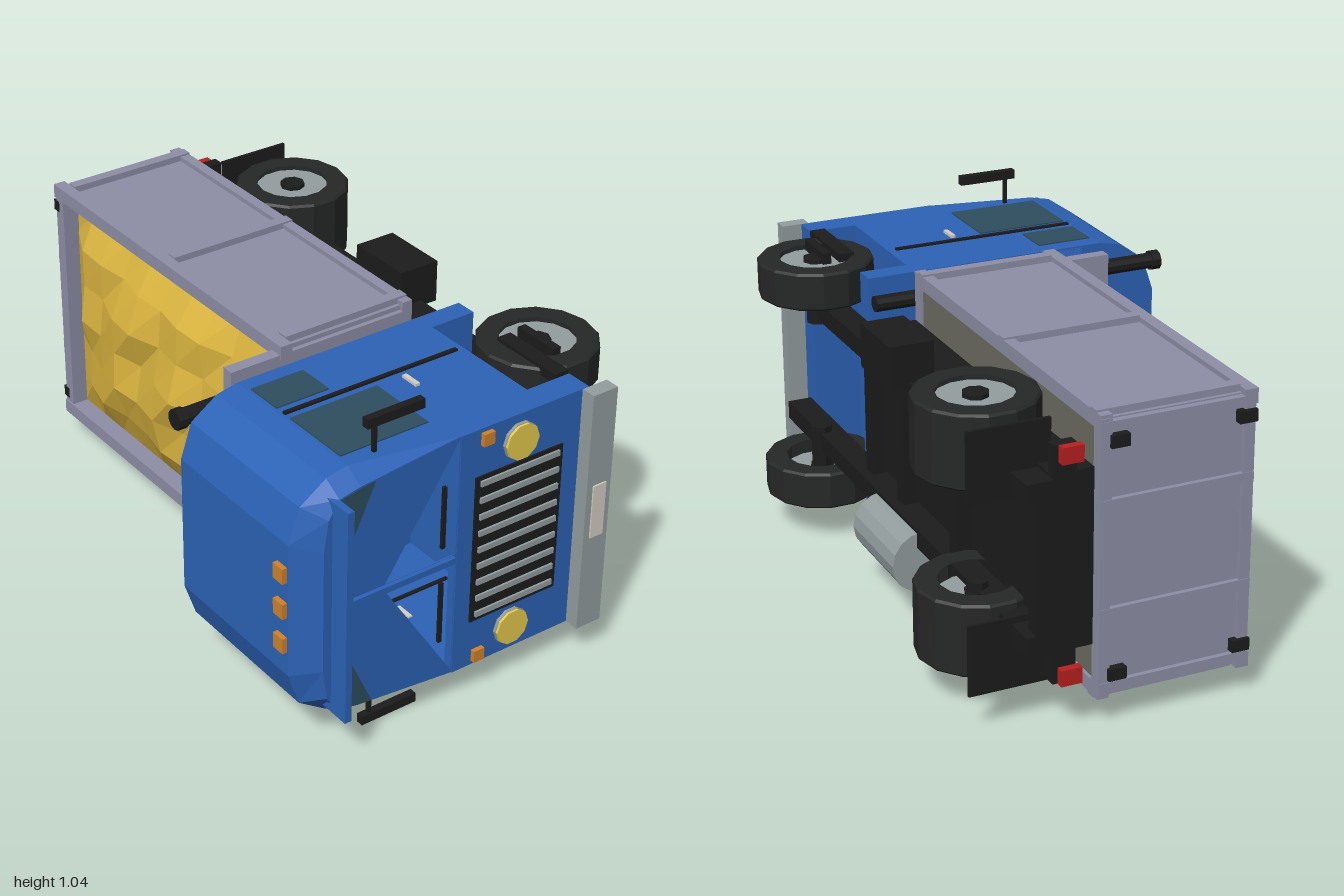
import * as THREE from 'three';

// The truck lies on its side: forward is +x, its roof faces +z, its width runs along y.
const MID = 0.52;
const C = { blue: 0x2c62b6, dark: 0x1c1c1d, tyre: 0x262727, bed: 0x8d8ea6, floor: 0x6c6c62, metal: 0x939d9e,
  sand: 0xdcb640, glass: 0x2d4d5e, orange: 0xd0822c, yellow: 0xe6ca4c, red: 0xb82020, cream: 0xd4cec4 };
const mats = {};
const mat = (c) => (mats[c] ??= new THREE.MeshStandardMaterial({ color: C[c], flatShading: true, side: THREE.DoubleSide }));

export function createModel() {
  const model = new THREE.Group();
  const add = (name, geo, c) => {
    const m = new THREE.Mesh(geo, mat(c));
    m.name = name;
    model.add(m);
    return m;
  };
  const box = (name, c, x0, x1, y0, y1, z0, z1) =>
    add(name, new THREE.BoxGeometry(x1 - x0, y1 - y0, z1 - z0), c)
      .position.set((x0 + x1) / 2, (y0 + y1) / 2, (z0 + z1) / 2);
  // box repeated on both flanks, d measured outward from the centre line
  const pair = (name, c, x0, x1, d0, d1, z0, z1) => {
    box(name, c, x0, x1, MID + d0, MID + d1, z0, z1);
    box(name, c, x0, x1, MID - d1, MID - d0, z0, z1);
  };
  const cyl = (name, c, r, len, n, axis, x, y, z) => {
    const g = new THREE.CylinderGeometry(r, r, len, n);
    if (axis === 'x') g.rotateZ(Math.PI / 2);
    if (axis === 'z') g.rotateX(Math.PI / 2);
    add(name, g, c).position.set(x, y, z);
  };

  // chassis
  pair('chassisRail', 'dark', -0.965, 0.905, 0.2, 0.26, -0.46, -0.38);
  box('subframe', 'dark', -0.95, 0.285, 0.25, 0.79, -0.38, -0.25);
  for (const x of [-0.94, -0.4, 0.0, 0.25]) box('crossMember', 'dark', x - 0.025, x + 0.025, 0.3, 0.74, -0.43, -0.36);
  pair('mudFlap', 'dark', -0.868, -0.858, 0.18, 0.4, -0.59, -0.34);
  box('batteryBox', 'dark', -0.165, 0.065, 0.76, 0.9, -0.52, -0.38);
  cyl('fuelTank', 'metal', 0.1, 0.32, 16, 'x', -0.04, 0.21, -0.44);

  // wheels: square tyre profile turned round the y axis, with rim, hub and stub axle
  const tyreProfile = [[0.115, -0.061], [0.178, -0.061], [0.185, -0.054], [0.185, 0.054], [0.178, 0.061], [0.115, 0.061]]
    .map(([r, h]) => new THREE.Vector2(r, h));
  const wheel = (x, d, s) => {
    const y = MID + s * d;
    add('tyre', new THREE.LatheGeometry(tyreProfile, 14), 'tyre').position.set(x, y, -0.447);
    cyl('rim', 'metal', 0.118, 0.06, 14, 'y', x, y + s * 0.015, -0.447);
    cyl('hub', 'dark', 0.04, 0.08, 8, 'y', x, y + s * 0.018, -0.447);
  };
  for (const s of [1, -1]) {
    wheel(0.63, 0.34, s);
    wheel(-0.61, 0.34, s);
    wheel(-0.61, 0.235, s);
    for (const x of [0.63, -0.61]) cyl('stubAxle', 'dark', 0.035, 0.14, 8, 'y', x, MID + s * 0.25, -0.447);
  }

  // cab shell: half profile [offset from centre, z] lofted along x
  const rear = [[0.405, -0.225], [0.405, 0.08], [0.405, 0.42], [0.39, 0.49], [0.33, 0.577], [0.22, 0.614]];
  const nose = [[0.405, -0.225], [0.405, 0.08], [0.37, 0.42], [0.355, 0.49], [0.3, 0.525], [0.2, 0.54]];
  const loop = (half) => [...half, ...half.map(([d, z]) => [-d, z]).reverse()];
  const sections = [[0.345, loop(rear)], [0.87, loop(rear)], [0.932, loop(nose)]];
  const pos = [], idx = [], n = 12;
  sections.forEach(([x, pts]) => pts.forEach(([d, z]) => pos.push(x, MID + d, z)));
  for (let k = 0; k < 2; k++) for (let i = 0; i < n; i++) {
    const a = k * n + i, b = k * n + (i + 1) % n;
    idx.push(a, a + n, b, b, a + n, b + n);
  }
  const shell = new THREE.BufferGeometry();
  shell.setAttribute('position', new THREE.Float32BufferAttribute(pos, 3));
  shell.setIndex(idx);
  shell.computeVertexNormals();
  add('cabShell', shell, 'blue');

  // flat panels across the cab, drawn in (y, z)
  const panel = (name, c, x, outline, holes = []) => {
    const points = (list) => list.map(([d, z]) => new THREE.Vector2(d, z));
    const shape = new THREE.Shape(points(outline));
    for (const h of holes) shape.holes.push(new THREE.Path(points(h)));
    const m = add(name, new THREE.ShapeGeometry(shape), c);
    m.geometry.applyMatrix4(new THREE.Matrix4().set(0, 0, 1, x, 1, 0, 0, MID, 0, 1, 0, 0, 0, 0, 0, 1));
  };
  panel('windscreenPanel', 'blue', 0.932, loop(nose), [1, -1].map((s) => [[s * 0.395, 0.082], [s * 0.012, 0.33], [s * 0.012, 0.082]]));
  panel('cabRearWall', 'blue', 0.345, loop(rear), [[[-0.4, 0.06], [0.4, 0.06], [0.4, 0.36], [-0.4, 0.36]]]);
  for (const s of [1, -1])
    panel('cornerGlass', 'glass', 0.935, [[s * 0.22, 0.49], [s * 0.22, 0.44], [s * 0.373, 0.37], [s * 0.367, 0.42], [s * 0.353, 0.49]]);

  // lower cab either side of the wheel arches, and the front panel
  box('cabRearSkirt', 'blue', 0.345, 0.415, 0.115, 0.925, -0.38, -0.225);
  box('cabFrontSkirt', 'blue', 0.847, 0.933, 0.115, 0.925, -0.38, -0.225);
  box('frontPanel', 'blue', 0.9, 0.935, 0.115, 0.925, -0.355, 0.08);
  box('windscreenPillar', 'blue', 0.925, 0.945, 0.511, 0.531, 0.09, 0.455);
  box('sunVisor', 'blue', 0.89, 1.0, 0.17, 0.875, 0.49, 0.512);
  pair('wiper', 'dark', 0.934, 0.944, 0.06, 0.265, 0.13, 0.142);

  // grille, lamps and bumper
  box('grille', 'dark', 0.93, 0.941, 0.275, 0.77, -0.29, 0.025);
  for (let i = 0; i < 9; i++) {
    const y = 0.3 + i * 0.056;
    box('grilleSlat', 'metal', 0.935, 0.948, y - 0.009, y + 0.009, -0.275, 0.01);
  }
  for (const s of [1, -1]) {
    cyl('headlampRim', 'metal', 0.06, 0.012, 10, 'x', 0.939, MID + s * 0.32, -0.13);
    cyl('headlamp', 'yellow', 0.058, 0.02, 10, 'x', 0.943, MID + s * 0.32, -0.13);
  }
  pair('indicator', 'orange', 0.93, 0.95, 0.352, 0.392, -0.028, 0.01);
  box('bumper', 'metal', 0.935, 0.983, 0.115, 0.925, -0.445, -0.355);
  box('numberPlate', 'cream', 0.98, 0.988, 0.435, 0.615, -0.425, -0.377);
  for (const y of [0.405, 0.522, 0.64]) box('roofLamp', 'orange', 0.82, 0.865, y - 0.025, y + 0.025, 0.595, 0.63);

  // cab sides
  pair('rearSideWindow', 'glass', 0.4, 0.525, 0.4, 0.409, 0.23, 0.41);
  pair('doorWindow', 'glass', 0.59, 0.825, 0.4, 0.409, 0.11, 0.41);
  pair('doorSeam', 'dark', 0.553, 0.566, 0.4, 0.412, -0.2, 0.41);
  pair('doorHandle', 'cream', 0.592, 0.655, 0.4, 0.414, 0.007, 0.022);
  pair('upperStep', 'dark', 0.58, 0.84, 0.38, 0.412, -0.385, -0.335);
  pair('lowerStep', 'dark', 0.58, 0.74, 0.38, 0.422, -0.44, -0.412);
  pair('mirror', 'dark', 0.842, 0.866, 0.49, 0.52, 0.155, 0.35);
  pair('mirrorArm', 'dark', 0.848, 0.86, 0.39, 0.5, 0.313, 0.325);

  // exhaust stack and tipping ram
  cyl('exhaustPipe', 'dark', 0.026, 0.97, 10, 'z', 0.312, 0.852, 0.11);
  cyl('exhaustCap', 'dark', 0.032, 0.03, 10, 'z', 0.312, 0.852, 0.597);
  cyl('tippingRam', 'metal', 0.036, 0.37, 12, 'z', 0.305, MID, -0.115);

  // tipper body
  box('bedFloor', 'floor', -0.97, 0.27, 0.12, 0.92, -0.24, -0.2);
  pair('bedSide', 'bed', -0.97, 0.27, 0.385, 0.415, -0.25, 0.22);
  pair('bedTopRail', 'bed', -0.99, 0.29, 0.385, 0.43, 0.19, 0.23);
  pair('bedBottomRail', 'bed', -0.985, 0.285, 0.395, 0.43, -0.25, -0.215);
  for (const x of [-0.94, -0.35, 0.24]) pair('bedRib', 'bed', x - 0.018, x + 0.018, 0.4, 0.436, -0.25, 0.19);
  box('headboard', 'bed', 0.245, 0.285, 0.12, 0.92, -0.25, 0.4);
  pair('headboardPost', 'bed', 0.28, 0.295, 0.17, 0.2, -0.22, 0.19);
  box('tailgate', 'bed', -0.975, -0.945, 0.12, 0.92, -0.25, 0.21);
  for (const z of [-0.233, 0.208]) box('tailgateRail', 'bed', -0.988, -0.945, 0.1, 0.94, z - 0.017, z + 0.017);
  for (const d of [0.165, 0.395]) pair('tailgateRib', 'bed', -0.99, -0.97, d - 0.016, d + 0.016, -0.25, 0.225);
  for (const z of [-0.195, 0.198]) pair('tailgateHinge', 'dark', -1.0, -0.97, 0.335, 0.372, z - 0.028, z + 0.028);
  pair('tailLamp', 'red', -0.99, -0.965, 0.31, 0.36, -0.365, -0.3);
  box('rearBeam', 'dark', -0.965, -0.93, 0.16, 0.88, -0.38, -0.31);

  // heaped load: grid raised to a rough mound
  const heap = new THREE.PlaneGeometry(1.2, 0.77, 10, 6);
  const p = heap.attributes.position;
  for (let i = 0; i < p.count; i++) {
    const u = p.getX(i), v = p.getY(i);
    const rise = Math.max(0, (1 - (u / 0.6) ** 2) * (1 - (v / 0.385) ** 2));
    const rough = Math.sin(u * 15 + v * 8) * Math.cos(v * 17 - u * 5);
    p.setZ(i, 0.17 + 0.1 * Math.sqrt(rise) + 0.035 * rough * Math.sqrt(rise));
  }
  heap.computeVertexNormals();
  add('sandLoad', heap, 'sand').position.set(-0.35, MID, 0);

  return model;
}
